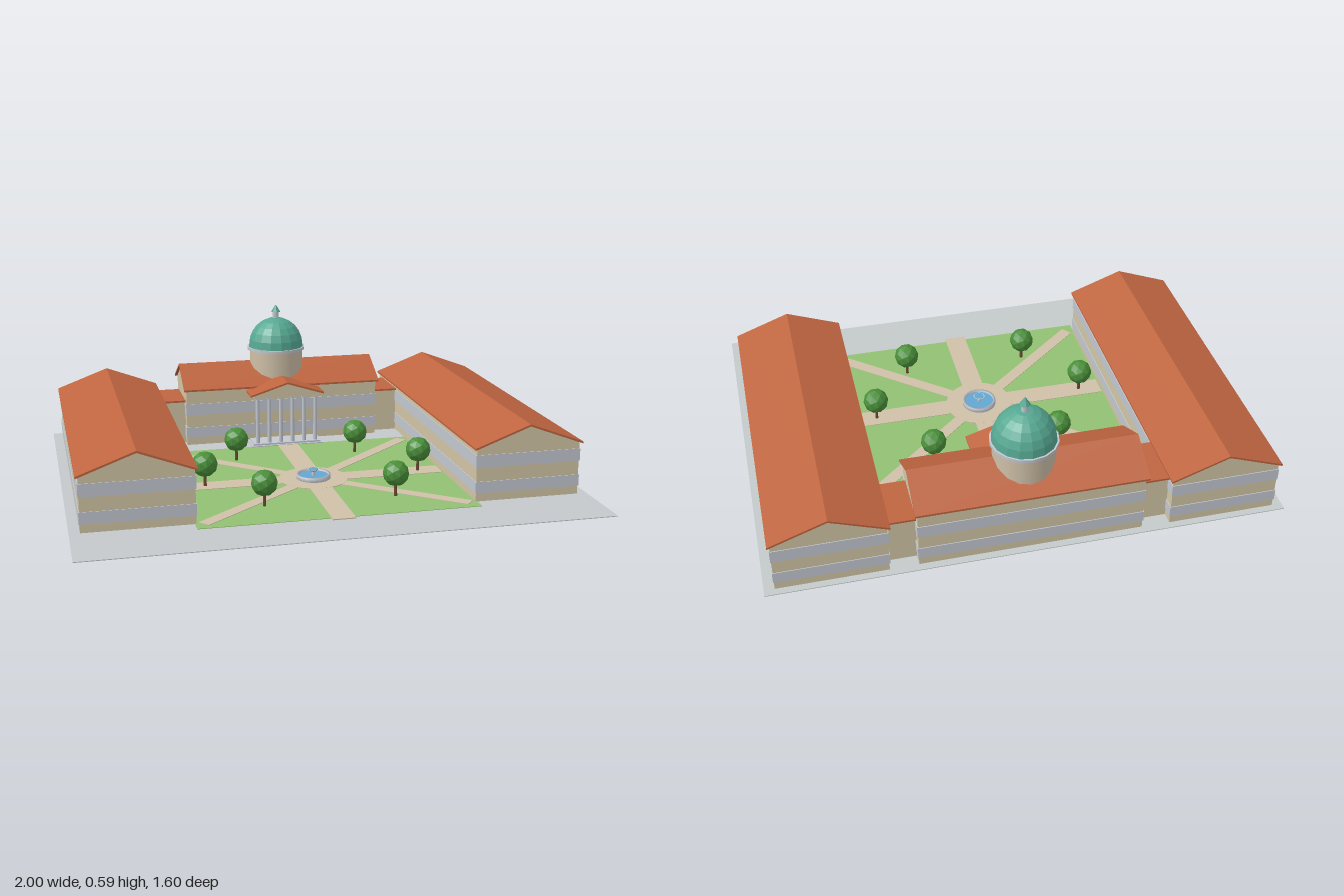
import * as THREE from 'three';

const paint = (name, color, extra = {}) => {
  const m = new THREE.MeshStandardMaterial({ color, ...extra });
  m.name = name;
  return m;
};

export function createModel() {
  const pavement = paint('pavement', 0xc4c9cb);
  const wall = paint('sandstone', 0xd2c6a5);
  const stone = paint('paleStone', 0xc3c8d0);
  const roof = paint('terracotta', 0xbf6540);
  const lawn = paint('lawn', 0x92c073);
  const path = paint('gravel', 0xcfc0a8);
  const leaf = paint('leaves', 0x4a8f3a, { flatShading: true });
  const copper = paint('copperGreen', 0x56a892, { flatShading: true });
  const water = paint('water', 0x62a8d2);
  const bark = paint('bark', 0x6b4a30);

  const model = new THREE.Group();
  model.name = 'courtyardComplex';

  const add = (parent, name, geo, mat, x = 0, y = 0, z = 0) => {
    const m = new THREE.Mesh(geo, mat);
    m.name = name;
    m.position.set(x, y, z);
    parent.add(m);
    return m;
  };
  // box given by its base height and top height
  const slab = (parent, name, mat, w, d, y0, y1, x = 0, z = 0) =>
    add(parent, name, new THREE.BoxGeometry(w, y1 - y0, d), mat, x, (y0 + y1) / 2, z);
  const drum = (parent, name, mat, r0, r1, y0, y1, x, z, n = 16) =>
    add(parent, name, new THREE.CylinderGeometry(r1, r0, y1 - y0, n), mat, x, (y0 + y1) / 2, z);
  const prism = (parent, name, mat, pts, z0, z1) => {
    const shape = new THREE.Shape(pts.map(p => new THREE.Vector2(...p)));
    const geo = new THREE.ExtrudeGeometry(shape, { depth: z1 - z0, bevelEnabled: false });
    return add(parent, name, geo, mat, 0, 0, z0);
  };

  // gabled block running along local z: body half width w, roof overhang o, eave e, ridge r
  function gabled(name, w, o, e, r, len, base = 0) {
    const g = new THREE.Group();
    g.name = name;
    const t = 0.008, W = w + o;
    const under = x => r - t - (r - e) * x / W;
    prism(g, 'walls', wall, [[-w, base], [w, base], [w, under(w)], [0, r - t], [-w, under(w)]], -len / 2, len / 2);
    prism(g, 'roof', roof, [[-W, e - t], [0, r - t], [W, e - t], [W, e], [0, r], [-W, e]],
      -len / 2 - 0.011, len / 2 + 0.011);
    model.add(g);
    return g;
  }
  // window bands wrapping a block
  const bands = (g, w, len) => {
    for (const [a, b] of [[0.036, 0.082], [0.138, 0.188]])
      slab(g, 'windowBand', stone, 2 * w + 0.006, len + 0.006, a, b);
  };

  // ground, lawn and paths
  const cz = 0.11;
  slab(model, 'pavement', pavement, 2, 1.6, 0, 0.003);
  slab(model, 'lawn', lawn, 1.09, 0.965, 0.003, 0.005, 0, 0.1025);
  slab(model, 'mainPath', path, 0.09, 0.985, 0.003, 0.007, 0, 0.1125);
  slab(model, 'crossPath', path, 1.07, 0.09, 0.003, 0.007, 0, cz);
  for (const sx of [-1, 1]) for (const ez of [-0.345, 0.54]) {
    const dx = sx * 0.515, dz = ez - cz;
    slab(model, 'diagonalPath', path, Math.hypot(dx, dz), 0.05, 0.003, 0.007, dx / 2, cz + dz / 2)
      .rotation.y = -Math.atan2(dz, dx);
  }
  drum(model, 'plaza', path, 0.14, 0.14, 0.003, 0.0075, 0, cz, 24);

  // side wings and connecting links
  for (const s of [-1, 1]) {
    const wing = gabled('sideWing', 0.21, 0.01, 0.218, 0.3, 1.3);
    wing.position.set(s * 0.75, 0, -0.122);
    bands(wing, 0.21, 1.3);
    slab(model, 'linkWalls', wall, 0.14, 0.2, 0, 0.188, s * 0.485, -0.625);
    slab(model, 'linkRoof', roof, 0.14, 0.216, 0.188, 0.196, s * 0.485, -0.627);
  }

  // main hall
  const hall = gabled('mainHall', 0.145, 0.015, 0.255, 0.34, 0.86);
  hall.rotation.y = Math.PI / 2;
  hall.position.z = -0.625;
  bands(hall, 0.145, 0.86);

  // portico with six columns
  const pediment = gabled('pediment', 0.148, 0.016, 0.238, 0.29, 0.18, 0.222);
  pediment.position.z = -0.471;
  slab(model, 'porticoStep', stone, 0.32, 0.115, 0.003, 0.009, 0, -0.4275);
  slab(model, 'porticoFloor', stone, 0.3, 0.105, 0.009, 0.016, 0, -0.4325);
  for (let i = 0; i < 6; i++) {
    const x = -0.13 + i * 0.052;
    drum(model, 'column', stone, 0.009, 0.008, 0.016, 0.222, x, -0.397, 10);
    slab(model, 'capital', stone, 0.022, 0.022, 0.214, 0.222, x, -0.397);
  }

  // dome
  const dz = -0.62;
  const drumWall = paint('gravel', path.color, { flatShading: true });
  drumWall.dispose();
  drum(model, 'domeDrum', path, 0.12, 0.12, 0.24, 0.392, 0, dz);
  drum(model, 'domeCornice', stone, 0.13, 0.13, 0.39, 0.403, 0, dz);
  add(model, 'dome', new THREE.SphereGeometry(0.123, 16, 6, 0, Math.PI * 2, 0, Math.PI / 2), copper, 0, 0.403, dz)
    .scale.y = 1.05;
  drum(model, 'lantern', stone, 0.014, 0.014, 0.525, 0.56, 0, dz, 8);
  drum(model, 'lanternCap', copper, 0.021, 0.002, 0.558, 0.588, 0, dz, 8);

  // fountain
  const rim = [[0.06, 0], [0.07, 0], [0.07, 0.02], [0.06, 0.02], [0.06, 0]].map(p => new THREE.Vector2(...p));
  add(model, 'fountainRim', new THREE.LatheGeometry(rim, 20), stone, 0, 0.005, cz);
  drum(model, 'fountainWater', water, 0.062, 0.062, 0.005, 0.019, 0, cz, 20);
  drum(model, 'fountainStem', stone, 0.008, 0.006, 0.01, 0.042, 0, cz, 10);
  drum(model, 'fountainBowl', stone, 0.008, 0.024, 0.034, 0.043, 0, cz, 12);
  drum(model, 'bowlWater', water, 0.02, 0.02, 0.042, 0.045, 0, cz, 12);

  // trees
  for (const s of [-1, 1]) for (const [x, z] of [[0.26, -0.205], [0.26, 0.395], [0.443, cz]]) {
    const tree = new THREE.Group();
    tree.name = 'tree';
    drum(tree, 'trunk', bark, 0.007, 0.005, 0.003, 0.07, 0, 0, 6);
    add(tree, 'crown', new THREE.IcosahedronGeometry(0.052, 1), leaf, 0, 0.097, 0);
    tree.position.set(s * x, 0, z);
    model.add(tree);
  }
  return model;
}
